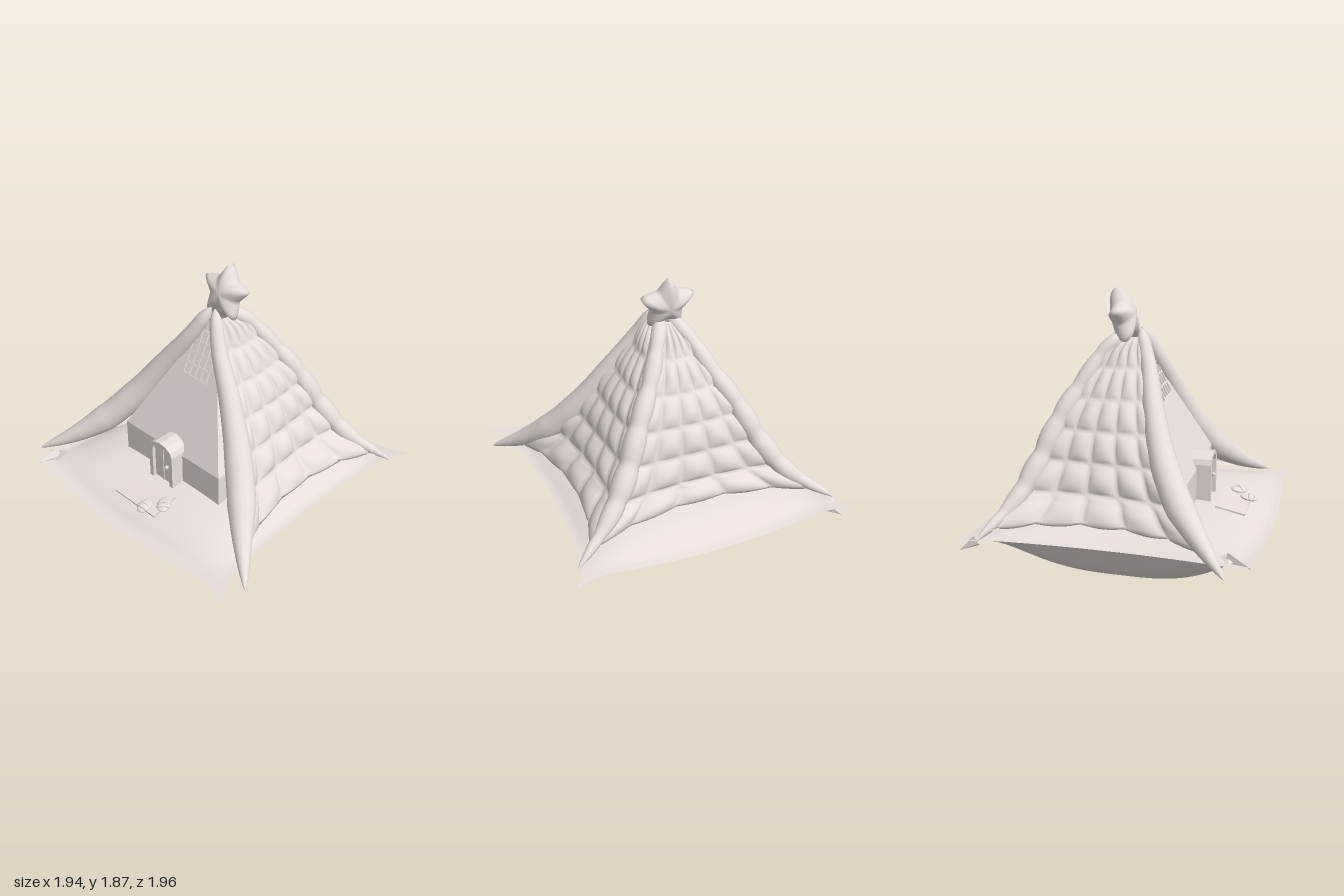
import * as THREE from 'three';
import { mergeVertices } from 'three/addons/utils/BufferGeometryUtils.js';
import { ParametricGeometry } from 'three/addons/geometries/ParametricGeometry.js';

const { abs, sin, cos, PI, min, max } = Math;
const V = (x, y, z) => new THREE.Vector3(x, y, z);

export function createModel() {
  const fabric = new THREE.MeshStandardMaterial({ color: 0xe8dfdc, side: THREE.DoubleSide });
  fabric.name = 'pale fabric';
  const root = new THREE.Group();
  root.name = 'pillowTent';

  const add = (name, geo, parent = root) => {
    const m = new THREE.Mesh(geo, fabric);
    m.name = name;
    parent.add(m);
    return m;
  };
  // weld seams and smooth the normals
  const smooth = (geo) => {
    geo.deleteAttribute('uv');
    geo.deleteAttribute('normal');
    const g = mergeVertices(geo, 1e-4);
    g.computeVertexNormals();
    return g;
  };
  // one flat normal per face
  const faceted = (geo) => {
    const g = geo.toNonIndexed();
    g.computeVertexNormals();
    return g;
  };

  // --- pillow base: two puffed sheets meeting in a flat hem with corner tips
  const pillow = (top) => (a, b, out) => {
    const u = a * 2 - 1, v = (b * 2 - 1) * (top ? -1 : 1);
    const folded = u < 0 && v < 0;
    const tip = (folded ? 0.01 : 0.09) * Math.pow(abs(u * v), 16);
    const x = u * ((u > 0 ? 0.91 : 0.95) - (u > 0 ? 0.03 : 0.07) * v * v + tip);
    const z = v * (0.8 + 0.08 * u * u + tip);
    const dip = u > 0 ? 0.06 : 0.03;
    const rim = 0.41 - dip * Math.pow(abs(u), 4) * (1 - v * v) - 0.015 * (1 - u * u) * v * v;
    const p = min(1, abs(u) / 0.93), q = min(1, abs(v) / 0.95);
    const puff = top
      ? (1 - Math.pow(p, 4)) * (1 - Math.pow(q, 4))
      : (1 - Math.pow(p, 3)) * (1 - Math.pow(q, 3.3));
    const thickness = 0.02 * (1 - Math.pow(max(abs(u), abs(v)), 20));
    out.set(x, top ? rim + (0.515 - rim) * puff : (rim - thickness) * (1 - puff), z);
  };
  add('pillowTop', smooth(new ParametricGeometry(pillow(true), 56, 56)));
  add('pillowBottom', smooth(new ParametricGeometry(pillow(false), 56, 56)));

  // folded corner flaps
  const flap = (pos, dir, len) => {
    const m = add('cornerFlap', faceted(new THREE.ConeGeometry(0.06, len, 4).translate(0, len / 2, 0).scale(1, 1, 0.5)));
    m.position.copy(pos);
    m.quaternion.setFromUnitVectors(V(0, 1, 0), dir.normalize());
  };
  flap(V(-0.76, 0.42, -0.78), V(-1, -0.15, -0.4), 0.16);
  flap(V(-0.76, 0.42, -0.76), V(-0.1, 0, -1), 0.11);
  flap(V(0.82, 0.39, -0.84), V(0.8, -0.45, -0.5), 0.12);

  // --- padded corner ridges running from the peak down to the pillow corners
  const leftRidge = [V(-0.03, 1.62, 0.015), V(-0.11, 1.4, 0.13), V(-0.18, 1.17, 0.28), V(-0.28, 0.9, 0.45),
    V(-0.42, 0.67, 0.62), V(-0.59, 0.51, 0.79), V(-0.77, 0.38, 0.98)];
  const rightRidge = [V(0.05, 1.59, 0.02), V(0.18, 1.49, 0.1), V(0.3, 1.3, 0.2), V(0.42, 1.08, 0.33),
    V(0.53, 0.8, 0.47), V(0.63, 0.6, 0.62), V(0.8, 0.41, 0.9)];
  const ridge = (name, pts, side, swell, lump) => {
    const path = new THREE.CatmullRomCurve3(pts.map((p) => V(p.x, p.y, p.z * side)));
    const seg = 56, n = 14;
    const g = new THREE.TubeGeometry(path, seg, 1, n);
    const pos = g.attributes.position, v = V(0, 0, 0);
    for (let i = 0; i < pos.count; i++) {
      const t = Math.floor(i / (n + 1)) / seg;
      const c = path.getPointAt(t);
      const taper = Math.pow(min(1, (1 - t) / 0.3), 0.75) * Math.pow(min(1, t / 0.05), 0.5);
      const r = (0.035 + swell * min(1, t / 0.55)) * taper * (1 + lump * abs(sin(t * PI * 7))) + 0.003;
      v.fromBufferAttribute(pos, i).sub(c).multiplyScalar(r).add(c);
      pos.setXYZ(i, v.x, v.y, v.z);
    }
    add(name, smooth(g));
  };
  for (const side of [1, -1]) {
    const end = side > 0 ? 'Front' : 'Back';
    ridge('openSideRidge' + end, leftRidge, side, 0.055, 0);
    ridge('closedSideRidge' + end, rightRidge, side, 0.025, 0.25);
  }

  // --- quilted cover over three sides, leaving the -x side open
  const atHeight = (pts, y, side) => {
    let i = 0;
    while (i < pts.length - 2 && pts[i + 1].y > y) i++;
    const k = min(1, max(0, (pts[i].y - y) / (pts[i].y - pts[i + 1].y)));
    const p = pts[i].clone().lerp(pts[i + 1], k);
    return p.set(p.x, y, p.z * side);
  };
  const panel = (from, fromSide, to, toSide, normal, pull, lift) => (s, t, out) => {
    const k = min(1, t / 0.96);
    const y = 1.57 - 1.11 * k;
    const a = atHeight(from, y, fromSide), b = atHeight(to, y, toSide);
    const across = Math.pow(sin(PI * s), 0.7);
    const cell = Math.pow(abs(sin(PI * 5 * s)), 0.7) * Math.pow(abs(sin(PI * 6 * k)), 0.7);
    const sag = across * (0.04 - pull * Math.pow(k, 4));
    const curl = t > 0.96 ? 0.05 : 0;
    out.copy(a.lerp(b, s)).addScaledVector(normal, sag + 0.048 * cell * (0.25 + 0.75 * k) - curl);
    // arched, scalloped hem
    out.y += 0.012 * cell + max(0, k - 0.8) * 5 * (lift * across - 0.02 * abs(sin(PI * 5 * s)));
  };
  const quilt = (name, ...args) => add(name, smooth(new ParametricGeometry(panel(...args), 50, 75)));
  quilt('quiltBack', leftRidge, -1, rightRidge, -1, V(0, 0, -1), 0.21, 0.04);
  quilt('quiltSide', rightRidge, -1, rightRidge, 1, V(1, 0, 0), 0.18, 0.075);
  quilt('quiltFront', rightRidge, 1, leftRidge, 1, V(0, 0, 1), 0.21, 0.04);

  // --- little house inside the tent
  add('houseWalls', new THREE.BoxGeometry(0.86, 0.28, 0.86).translate(0, 0.58, 0));
  add('houseRoof', faceted(new THREE.CylinderGeometry(0.04, 0.608, 0.8, 4).rotateY(PI / 4).translate(0, 1.12, 0)));

  // lattice window lying on the open-side roof slope
  const lattice = new THREE.Group();
  lattice.name = 'roofWindow';
  lattice.position.set(-0.135, 1.312, 0);
  lattice.rotation.z = Math.atan2(0.8, 0.402);
  root.add(lattice);
  for (let i = -2; i <= 2; i++) {
    add('windowBarUpright', new THREE.BoxGeometry(0.32, 0.02, 0.012).translate(0, 0, i * 0.05), lattice);
    add('windowBarCross', new THREE.BoxGeometry(0.012, 0.02, 0.21).translate(i * 0.077, 0, 0), lattice);
  }

  // --- arched doorway, drawn in the z-y plane and extruded along x
  const arch = (Shape, w, base, spring, rise) => {
    const s = new Shape();
    s.moveTo(-w, base);
    s.lineTo(w, base);
    for (let i = 0; i <= 6; i++) s.lineTo(w * cos((PI * i) / 6), spring + rise * sin((PI * i) / 6));
    s.closePath();
    return s;
  };
  const extrudeX = (shape, depth, x) =>
    new THREE.ExtrudeGeometry(shape, { depth, bevelEnabled: false }).rotateY(-PI / 2).translate(x, 0, 0);
  const frame = arch(THREE.Shape, 0.105, 0.47, 0.75, 0.07);
  frame.holes.push(arch(THREE.Path, 0.075, 0.5, 0.74, 0.053));
  add('doorFrame', extrudeX(frame, 0.18, -0.345));
  add('door', extrudeX(arch(THREE.Shape, 0.076, 0.49, 0.74, 0.053), 0.1, -0.4));
  add('doorSlat', new THREE.BoxGeometry(0.008, 0.27, 0.01).translate(-0.502, 0.64, 0));
  add('doorKnob', new THREE.SphereGeometry(0.014, 12, 8).translate(-0.515, 0.64, 0.045));

  // --- mat and slippers in front of the door
  const mat = new THREE.Group();
  mat.name = 'doorstep';
  mat.position.set(-0.67, 0.482, 0);
  mat.rotation.z = 0.2;
  root.add(mat);
  add('mat', new THREE.BoxGeometry(0.2, 0.012, 0.37), mat);
  for (const [x, z, turn] of [[-0.08, 0.08, 0.1], [0, 0.175, 0.7]]) {
    const slipper = new THREE.Group();
    slipper.name = 'slipper';
    slipper.position.set(x, 0.018, z);
    slipper.rotation.y = turn;
    mat.add(slipper);
    add('sole', new THREE.SphereGeometry(1, 16, 10).scale(0.06, 0.016, 0.045), slipper);
    add('strap', new THREE.TorusGeometry(0.036, 0.01, 8, 14, PI).rotateY(PI / 2).scale(2, 0.5, 1).translate(-0.015, 0.002, 0), slipper);
  }

  // --- puffy star on the peak, facing along x
  const star = new THREE.SphereGeometry(1, 50, 24).rotateZ(PI / 2);
  const sp = star.attributes.position, R1 = 0.2, R2 = 0.112, sector = PI / 5;
  for (let i = 0; i < sp.count; i++) {
    const y = sp.getY(i), z = sp.getZ(i);
    const turn = (Math.atan2(z, y) + 2 * PI + sector) % (2 * sector);
    const a = abs(turn - sector);
    const r = min(0.188, (R1 * R2 * sin(sector)) / (R1 * sin(a) + R2 * sin(sector - a)));
    sp.setXYZ(i, sp.getX(i) * 0.082, y * r, z * r);
  }
  const starMesh = add('star', smooth(star));
  starMesh.position.set(0.088, 1.69, 0);
  starMesh.rotation.z = -0.28;

  return root;
}
